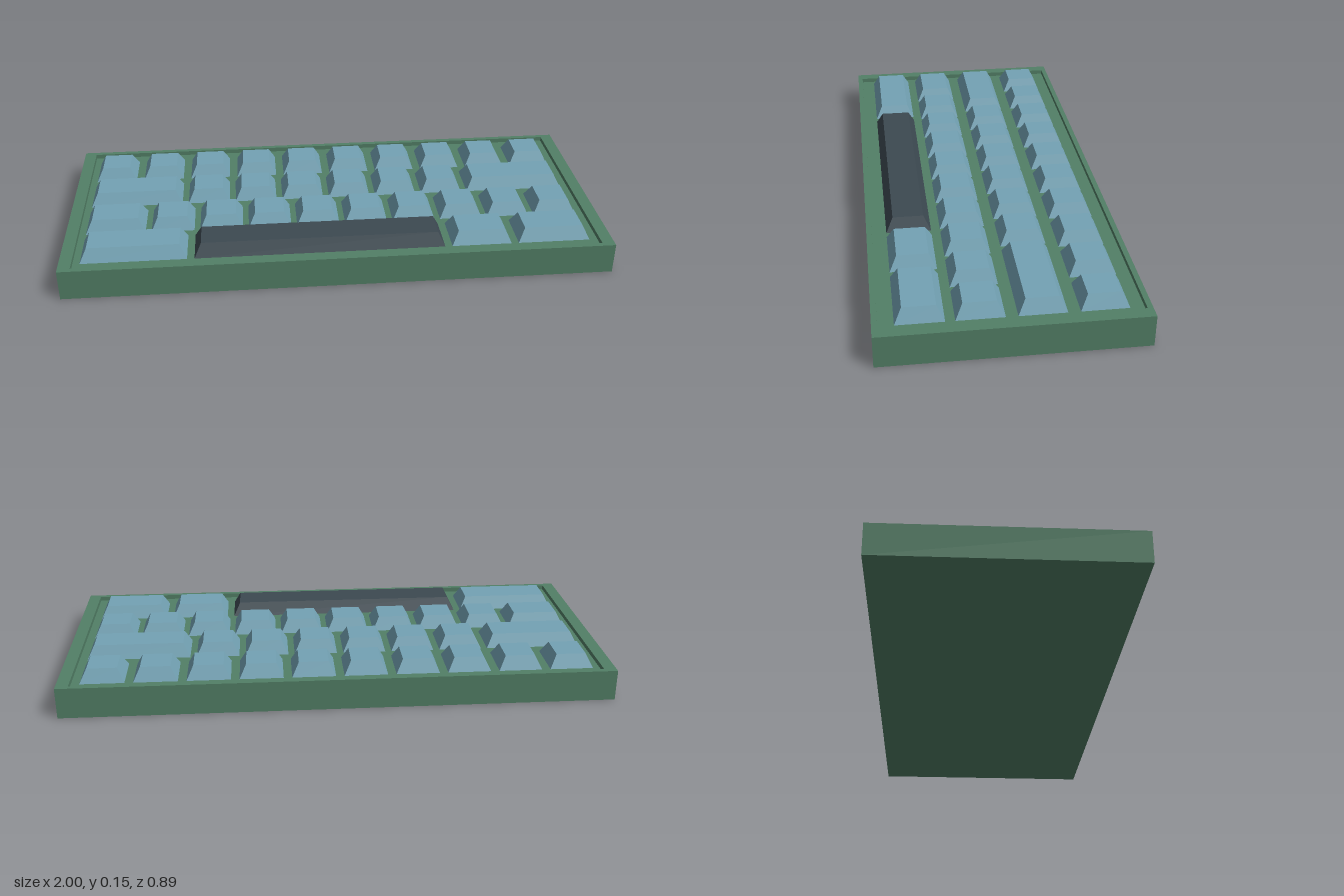
import * as THREE from 'three';

// Flat-faced solid through a series of rectangles [halfX, y, halfZ], capped at both ends
function rectLoft(sections) {
  const rings = sections.map(([hx, y, hz]) => [[-hx, y, hz], [hx, y, hz], [hx, y, -hz], [-hx, y, -hz]]);
  const pos = [];
  const quad = (a, b, c, d) => pos.push(...a, ...b, ...c, ...a, ...c, ...d);
  const first = rings[0], last = rings[rings.length - 1];
  quad(first[3], first[2], first[1], first[0]);
  for (let i = 0; i < rings.length - 1; i++) {
    const lo = rings[i], hi = rings[i + 1];
    for (let k = 0; k < 4; k++) {
      const n = (k + 1) % 4;
      quad(lo[k], lo[n], hi[n], hi[k]);
    }
  }
  quad(...last);
  const geo = new THREE.BufferGeometry();
  geo.setAttribute('position', new THREE.Float32BufferAttribute(pos, 3));
  geo.computeVertexNormals();
  return geo;
}

export function createModel() {
  const material = (name, color) => {
    const m = new THREE.MeshStandardMaterial({ color });
    m.name = name;
    return m;
  };
  const caseGreen = material('caseGreen', 0x527f66);
  const keyBlue = material('keyBlue', 0x73a2b4);
  const barGrey = material('barGrey', 0x3c4951);

  const model = new THREE.Group();
  model.name = 'keyboard';

  const floorY = 0.098, rimY = 0.115, topY = 0.147;

  // Tray: outer wall, rim, then a shallow recess
  const tray = new THREE.Mesh(rectLoft([
    [1, 0, 0.445], [1, rimY, 0.445], [0.955, rimY, 0.426], [0.955, floorY, 0.426],
  ]), caseGreen);
  tray.name = 'case';
  model.add(tray);

  // Key rows: widths from left to right of the row, spread evenly between the row ends
  const rows = [
    { z: -0.299, widths: Array(10).fill(0.158) },
    { z: -0.098, widths: [0.35, ...Array(6).fill(0.16), 0.38] },
    { z: 0.102, widths: [0.22, ...Array(9).fill(0.16)] },
    { z: 0.294, widths: [0.38, 0.91, 0.22, 0.265] },
  ];
  const start = -0.93, end = 0.925, depth = 0.16, taper = 0.025;

  rows.forEach(({ z, widths }, r) => {
    const row = new THREE.Group();
    row.name = `keyRow${r + 1}`;
    const total = widths.reduce((a, b) => a + b, 0);
    const gap = (end - start - total) / (widths.length - 1);
    let x = start;
    for (const w of widths) {
      const isBar = w > 0.5;
      const key = new THREE.Mesh(rectLoft([
        [w / 2, floorY, depth / 2],
        [w / 2 - taper, topY, depth / 2 - taper],
      ]), isBar ? barGrey : keyBlue);
      key.name = isBar ? 'spaceBar' : 'key';
      key.position.set(x + w / 2, 0, z);
      row.add(key);
      x += w + gap;
    }
    model.add(row);
  });

  return model;
}
